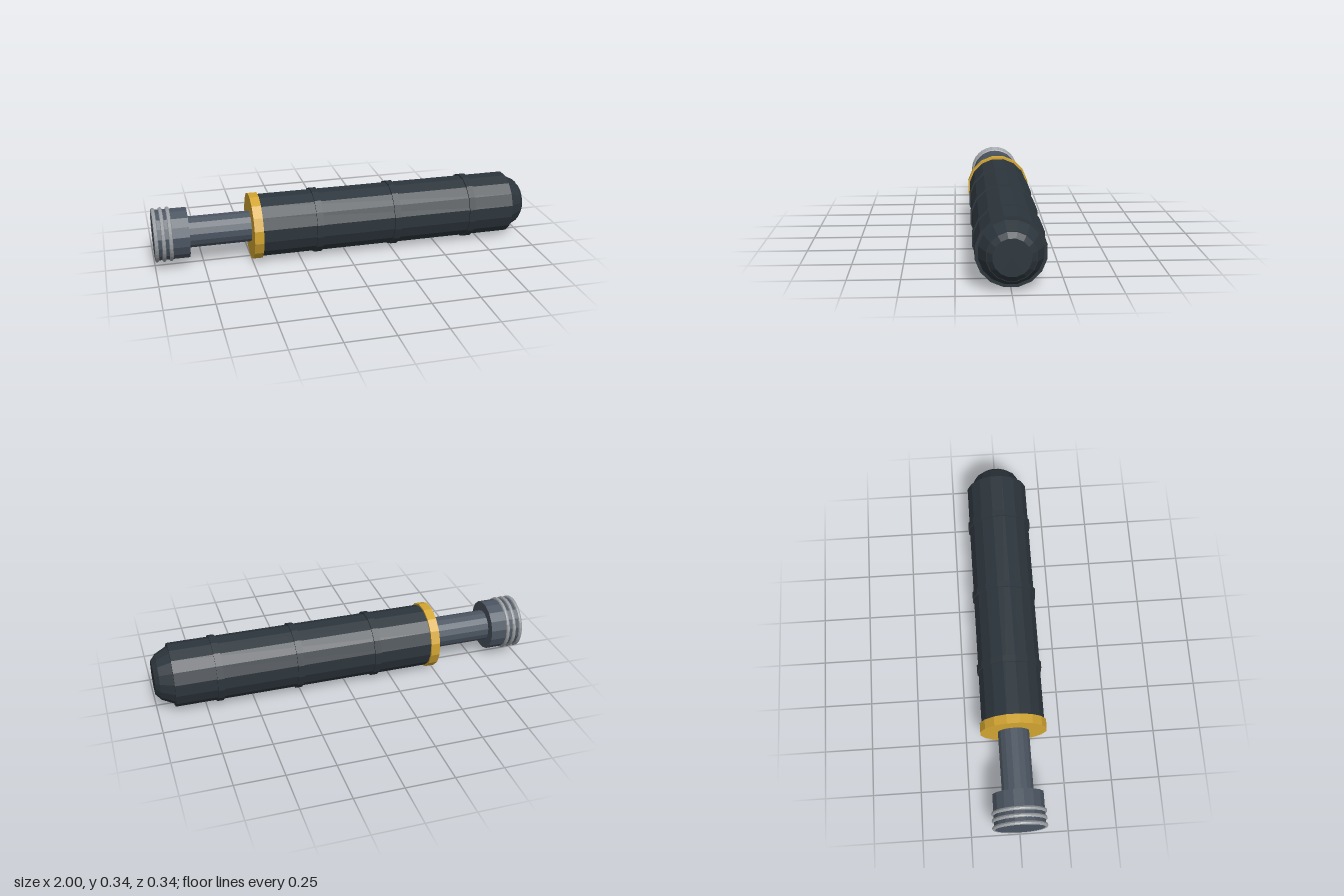
import * as THREE from 'three';

const SIDES = 16;
const AXIS_Y = 0.171;

function material(name, color) {
  const m = new THREE.MeshStandardMaterial({ color, flatShading: true });
  m.name = name;
  return m;
}

export function createModel() {
  const group = new THREE.Group();
  group.name = 'plungerCylinder';

  const dark = material('dark slate', 0x2c353c);
  const steel = material('blue grey steel', 0x4b5561);
  const gold = material('gold', 0xd2a532);
  const silver = material('silver', 0x9b9fa3);

  // Faceted round section along x, from x0 to x1, with a flat facet on top
  function section(name, mat, x0, x1, r0, r1 = r0) {
    const geo = new THREE.CylinderGeometry(r1, r0, x1 - x0, SIDES);
    geo.rotateY(Math.PI / SIDES);
    geo.rotateZ(-Math.PI / 2);
    const mesh = new THREE.Mesh(geo, mat);
    mesh.name = name;
    mesh.position.set((x0 + x1) / 2, AXIS_Y, 0);
    group.add(mesh);
  }

  // Main barrel with raised bands
  section('barrel', dark, -0.455, 0.91, 0.165);
  [-0.155, 0.262, 0.68].forEach((x, i) =>
    section('barrelBand' + (i + 1), dark, x - 0.017, x + 0.017, 0.1725));

  // Tapered nose in two steps
  section('noseCone', dark, 0.91, 0.978, 0.15, 0.116);
  section('noseTip', dark, 0.978, 1, 0.113, 0.088);

  // Collar, rod and plunger head
  section('collar', gold, -0.5, -0.452, 0.1745);
  section('rod', steel, -0.83, -0.49, 0.082);
  section('plungerHead', steel, -0.998, -0.822, 0.132);

  // Sealing rings around the head
  [-0.99, -0.953, -0.917].forEach((x, i) => {
    const geo = new THREE.TorusGeometry(0.131, 0.01, 8, 32);
    geo.rotateY(Math.PI / 2);
    const ring = new THREE.Mesh(geo, silver);
    ring.name = 'sealRing' + (i + 1);
    ring.position.set(x, AXIS_Y, 0);
    group.add(ring);
  });

  return group;
}
